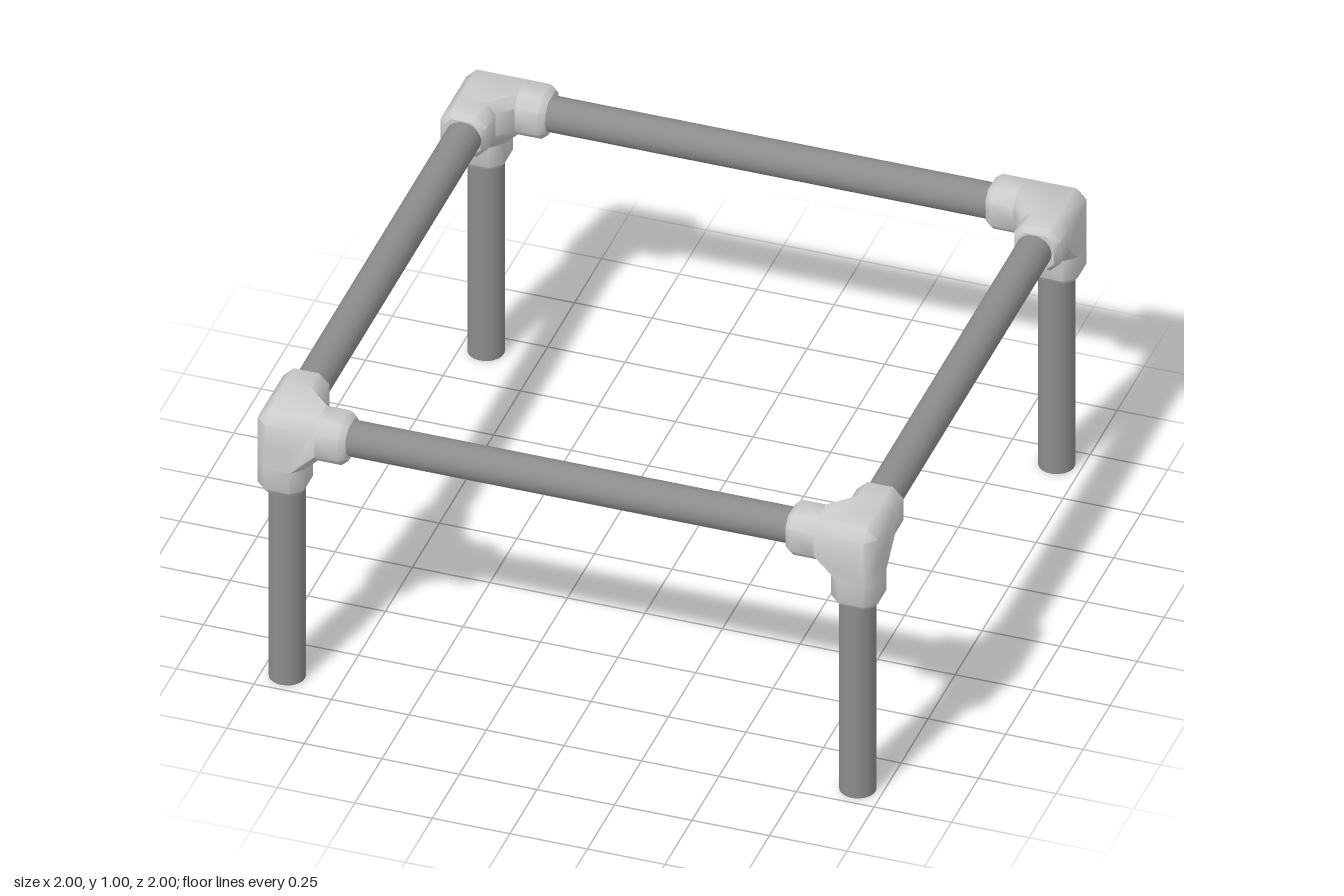
import * as THREE from 'three';
import { ConvexGeometry } from 'three/addons/geometries/ConvexGeometry.js';
import { toCreasedNormals } from 'three/addons/utils/BufferGeometryUtils.js';

const CENTRE = 0.925; // fitting centre on every axis
const PIPE = 0.92;    // pipe axis offset
const RADIUS = 0.057;
const HALF = 0.075;   // half width of a fitting socket
const CUT = 0.034;    // chamfer of its long edges

const fittingMaterial = new THREE.MeshStandardMaterial({ color: 0xcccccc });
const pipeMaterial = new THREE.MeshStandardMaterial({ color: 0x8c8c8c });

// Chamfered square section across an axis, at a distance d from the fitting centre
function section(axis, d, half = HALF, cut = CUT) {
  const points = [];
  for (const s of [-1, 1]) for (const t of [-1, 1]) {
    for (const [u, v] of [[half, half - cut], [half - cut, half]]) {
      const p = [0, 0, 0];
      p[axis] = d;
      p[(axis + 1) % 3] = s * u;
      p[(axis + 2) % 3] = t * v;
      points.push(new THREE.Vector3(...p));
    }
  }
  return points;
}

function hull(points, name) {
  const geometry = toCreasedNormals(new ConvexGeometry(points), 0.9);
  const mesh = new THREE.Mesh(geometry, fittingMaterial);
  mesh.name = name;
  return mesh;
}

// Three-way corner fitting with sockets toward -x, -y and -z
function cornerFitting() {
  const group = new THREE.Group();
  group.name = 'cornerFitting';
  const corePoints = [];
  for (let axis = 0; axis < 3; axis++) {
    // small square outer face, and the socket root that forms the inner fillet
    const k = HALF - CUT;
    for (const s of [-1, 1]) for (const t of [-1, 1]) {
      const p = [0, 0, 0];
      p[axis] = HALF;
      p[(axis + 1) % 3] = s * k;
      p[(axis + 2) % 3] = t * k;
      corePoints.push(new THREE.Vector3(...p));
    }
    corePoints.push(...section(axis, -0.12));
    group.add(hull([
      ...section(axis, -0.12),
      ...section(axis, -0.196),
      ...section(axis, -0.216, 0.06, 0.026),
    ], 'socket'));
  }
  group.add(hull(corePoints, 'fittingCore'));
  group.position.set(CENTRE, CENTRE, CENTRE);
  return group;
}

function pipe(length, name) {
  const mesh = new THREE.Mesh(new THREE.CylinderGeometry(RADIUS, RADIUS, length, 24), pipeMaterial);
  mesh.name = name;
  return mesh;
}

export function createModel() {
  const model = new THREE.Group();
  model.name = 'pipeFrame';

  // Each quarter holds one corner, its leg and one top rail
  for (let i = 0; i < 4; i++) {
    const quarter = new THREE.Group();
    quarter.name = 'frameQuarter';

    const leg = pipe(CENTRE, 'leg');
    leg.position.set(PIPE, CENTRE / 2, PIPE);

    const rail = pipe(2 * PIPE, 'topRail');
    rail.rotation.z = Math.PI / 2;
    rail.position.set(0, CENTRE, PIPE);

    quarter.add(cornerFitting(), leg, rail);
    quarter.rotation.y = i * Math.PI / 2;
    model.add(quarter);
  }
  return model;
}
